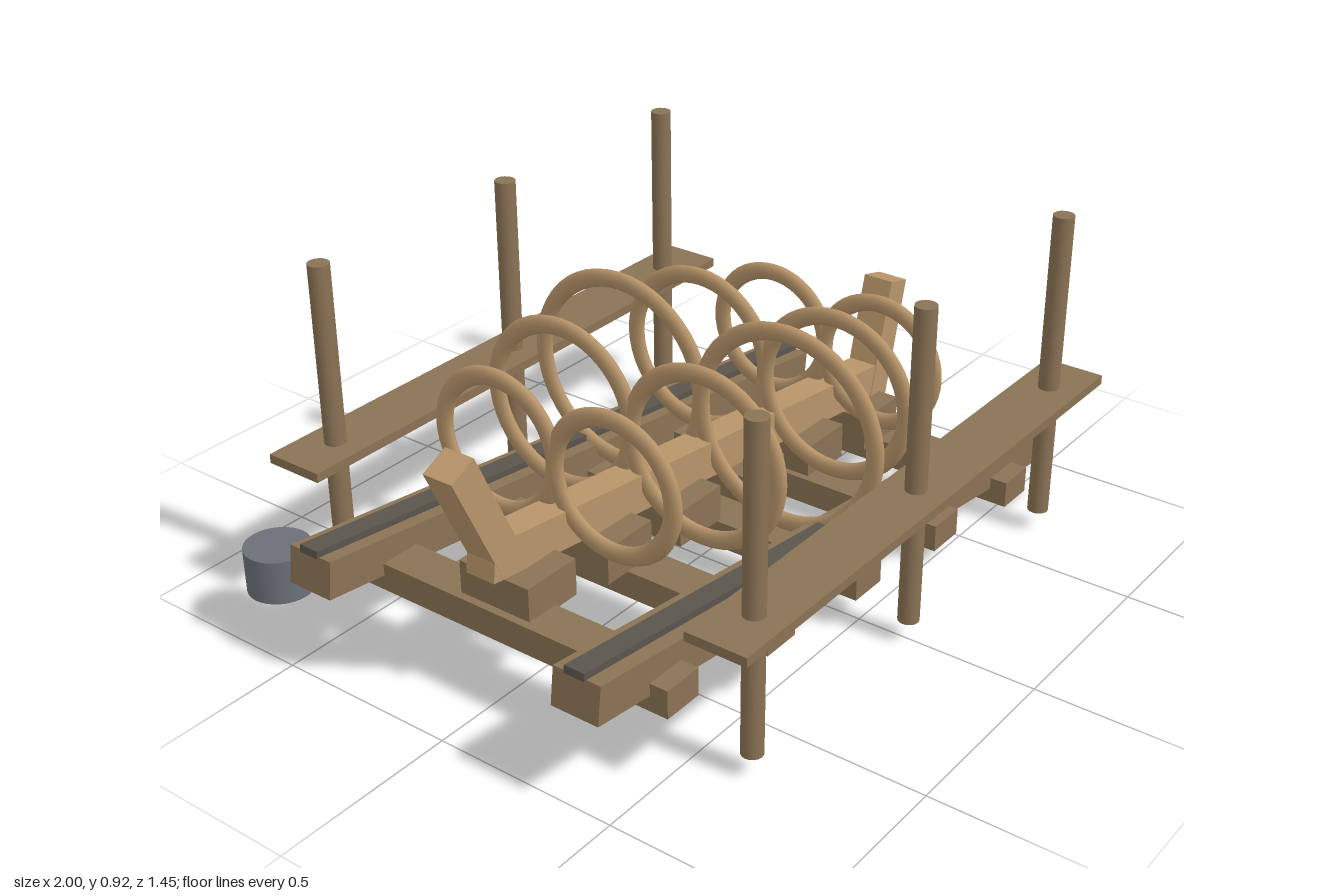
import * as THREE from 'three';

const SLOPE = Math.tan(THREE.MathUtils.degToRad(7));
const TILT = -Math.atan(SLOPE);
const paint = (color) => new THREE.MeshStandardMaterial({ color });

export function createModel() {
  const model = new THREE.Group();
  const darkWood = paint(0x8b7355);
  const lightWood = paint(0xb8956a);
  const grease = paint(0x5a544c);
  const iron = paint(0x6b7078);

  function add(name, geometry, material, x, y, z, tilt = 0) {
    const mesh = new THREE.Mesh(geometry, material);
    mesh.name = name;
    mesh.position.set(x, y, z);
    mesh.rotation.z = tilt;
    model.add(mesh);
    return mesh;
  }
  const box = (name, w, h, d, material, x, y, z, tilt) =>
    add(name, new THREE.BoxGeometry(w, h, d), material, x, y, z, tilt);
  // height on the incline at x, given the height at the middle
  const onSlope = (y, x) => y - SLOPE * x;

  // level cross sleepers, stepping down the incline
  for (let i = -2; i <= 2; i++) {
    const x = i * 0.382;
    box('sleeper', 0.113, 0.075, 1.046, darkWood, x, onSlope(0.1315, x), 0);
  }

  // keel blocks between the ways
  for (let i = -2.5; i <= 2.5; i++) {
    const x = i * 0.286;
    box('keelBlock', 0.168, 0.1, 0.212, darkWood, x, onSlope(0.2136, x), 0);
  }

  // keel with a raked post at each end
  box('keel', 1.685, 0.1, 0.085, lightWood, 0, 0.311, 0, TILT);
  box('stemPost', 0.082, 0.35, 0.086, lightWood, -0.8465, 0.536, 0, 0.436);
  box('sternPost', 0.082, 0.35, 0.09, lightWood, 0.836, 0.327, 0, -0.255);

  // paired rib hoops, largest amidships
  for (let i = -2; i <= 2; i++) {
    const x = i * 0.286;
    const radius = 0.263 - 0.044 * Math.abs(i);
    const hoop = new THREE.TorusGeometry(radius, 0.025, 12, 48);
    hoop.rotateY(Math.PI / 2);
    hoop.scale(0.6, 1, 1);
    for (const side of [-1, 1]) {
      add('ribHoop', hoop, lightWood, x, onSlope(0.469, x), side * radius);
    }
  }

  for (const side of [-1, 1]) {
    // sloping launch ways with greased runners
    box('launchWay', 2.0, 0.1, 0.133, darkWood, 0, 0.179, side * 0.407, TILT);
    box('greasedRunner', 2.0, 0.02, 0.057, grease, 0, 0.237, side * 0.405, TILT);

    // scaffold walkway and its poles
    const z = side * 0.643;
    box('scaffoldPlank', 1.62, 0.025, 0.166, darkWood, 0, 0.418, z);
    for (const x of [-0.667, 0, 0.667]) {
      add('scaffoldPole', new THREE.CylinderGeometry(0.028, 0.028, 0.86, 16), darkWood, x, 0.488, z);
    }
  }

  // grease tub at the high end
  add('tub', new THREE.CylinderGeometry(0.085, 0.085, 0.118, 32), iron, -0.906, 0.195, -0.62);

  return model;
}
